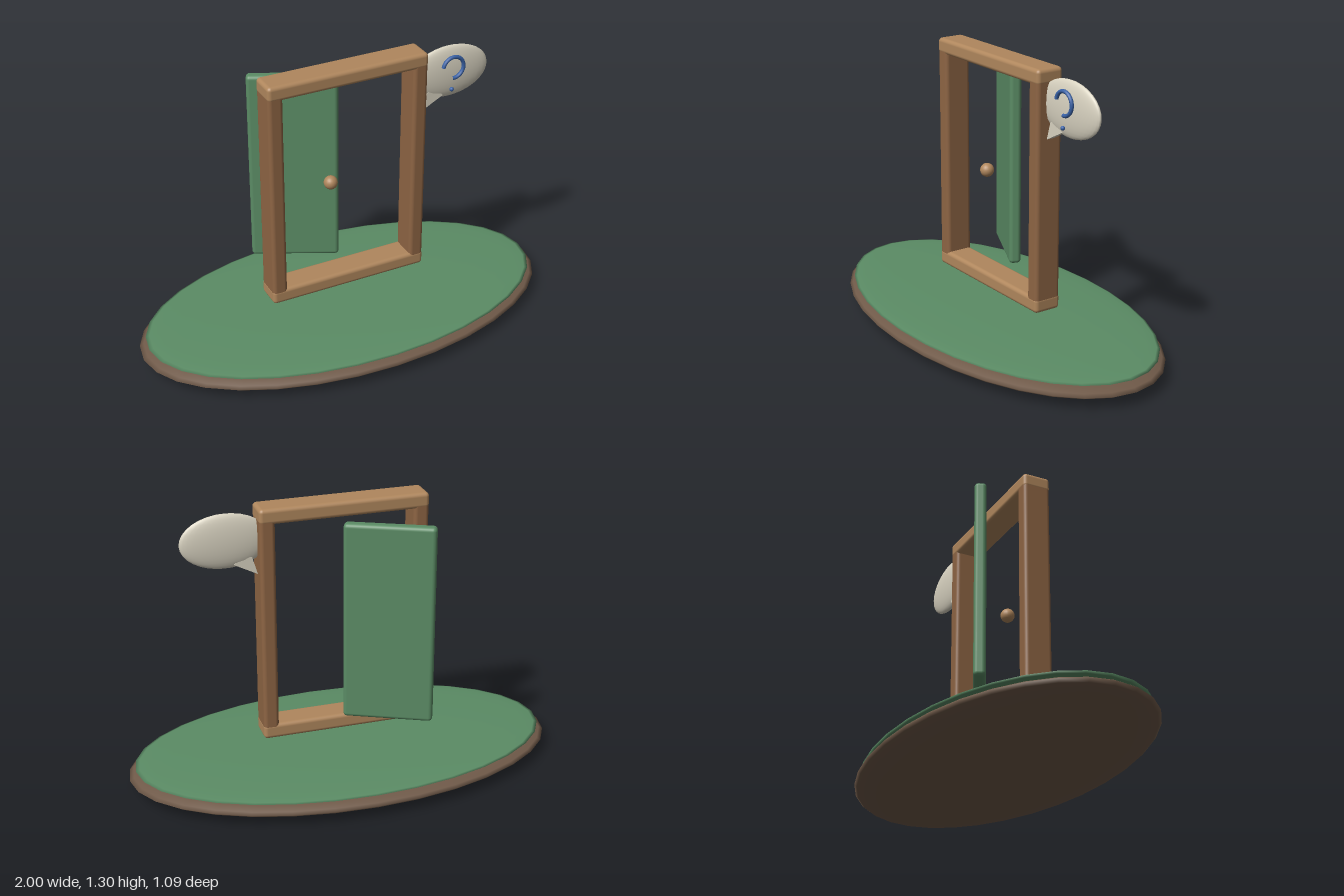
import * as THREE from 'three';
import { RoundedBoxGeometry } from 'three/addons/geometries/RoundedBoxGeometry.js';

export function createModel() {
  const model = new THREE.Group();
  model.name = 'openDoorOnIsland';

  const material = (name, color) => {
    const m = new THREE.MeshStandardMaterial({ color });
    m.name = name;
    return m;
  };
  const green = material('green', 0x5b8c65);
  const earth = material('earthBrown', 0x705a49);
  const darkWood = material('darkWood', 0x8e6544);
  const lightWood = material('lightWood', 0xb0875d);
  const cream = material('cream', 0xd9d3c1);
  const blue = material('blue', 0x3a63a8);

  const add = (name, geometry, mat, x, y, z, parent = model) => {
    const mesh = new THREE.Mesh(geometry, mat);
    mesh.name = name;
    mesh.position.set(x, y, z);
    parent.add(mesh);
    return mesh;
  };
  const ellipsoid = (rx, ry, rz, w = 32, h = 16) =>
    new THREE.SphereGeometry(1, w, h).scale(rx, ry, rz);

  // Island: an earth disc with a thin grass cap
  add('earthBase', ellipsoid(1, 0.06, 0.545), earth, 0, 0.062, 0);
  add('grassTop', ellipsoid(0.97, 0.02, 0.525), green, 0, 0.105, 0);

  // Door frame: two posts between two rails
  const frame = new THREE.Group();
  frame.name = 'doorFrame';
  model.add(frame);
  for (const [name, x] of [['leftPost', 0.35], ['rightPost', -0.35]]) {
    add(name, new RoundedBoxGeometry(0.07, 1.02, 0.13, 3, 0.018), darkWood, x, 0.754, 0, frame);
  }
  for (const [name, y] of [['topRail', 1.269], ['bottomRail', 0.24]]) {
    add(name, new RoundedBoxGeometry(0.772, 0.071, 0.132, 3, 0.018), lightWood, 0, y, 0, frame);
  }

  // Door leaf swung open behind the frame, and its knob
  const door = add('doorLeaf', new RoundedBoxGeometry(0.405, 0.93, 0.054, 3, 0.018), green, -0.165, 0.755, -0.175);
  door.rotation.y = -0.45;
  add('doorKnob', new THREE.SphereGeometry(0.032, 20, 14), lightWood, -0.07, 0.742, 0.01);

  // Speech bubble with a flat pointed tail
  const bubble = new THREE.Group();
  bubble.name = 'speechBubble';
  model.add(bubble);
  add('bubbleBody', ellipsoid(0.2, 0.125, 0.03), cream, 0.525, 1.16, 0, bubble);
  const tail = new THREE.Shape([
    new THREE.Vector2(0.386, 0.998),
    new THREE.Vector2(0.49, 1.052),
    new THREE.Vector2(0.46, 1.09),
    new THREE.Vector2(0.41, 1.08),
  ]);
  add('bubbleTail', new THREE.ExtrudeGeometry(tail, { depth: 0.034, bevelEnabled: false }), cream, 0, 0, -0.017, bubble);

  // Raised hook and dot on the bubble's front
  const hook = new THREE.TorusGeometry(0.052, 0.009, 8, 28, THREE.MathUtils.degToRad(265));
  add('bubbleHook', hook, blue, 0.528, 1.19, 0.038, bubble).rotation.z = THREE.MathUtils.degToRad(-95);
  add('bubbleDot', new THREE.SphereGeometry(0.01, 12, 8), blue, 0.523, 1.084, 0.038, bubble);

  return model;
}
